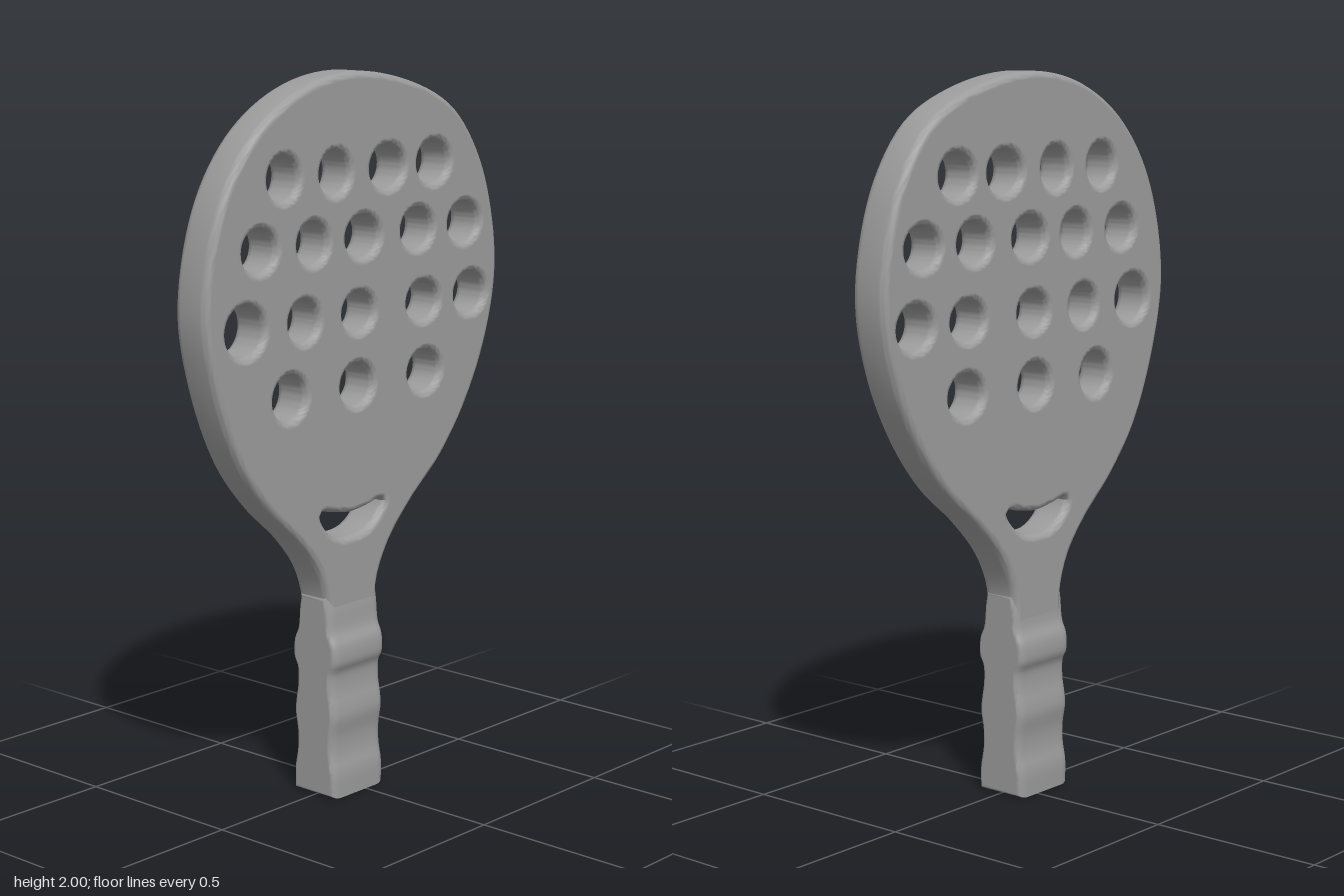
import * as THREE from 'three';
import { toCreasedNormals } from 'three/addons/utils/BufferGeometryUtils.js';

const material = new THREE.MeshStandardMaterial({ color: 0x9c9c9c });

// Smooth curve through [x, y] pairs, sampled as 2D points
function smoothPoints(pairs, closed, count) {
  const curve = new THREE.CatmullRomCurve3(
    pairs.map(([x, y]) => new THREE.Vector3(x, y, 0)), closed, 'centripetal');
  const points = curve.getSpacedPoints(count).map(p => new THREE.Vector2(p.x, p.y));
  if (closed) points.pop();
  return points;
}

// Extrusion with rounded edges that stays inside its outline, centred in depth
function roundedExtrude(shape, depth, bevelSize, bevelThickness) {
  const inner = depth - 2 * bevelThickness;
  const extrusion = new THREE.ExtrudeGeometry(shape, {
    depth: inner, bevelThickness, bevelSize, bevelOffset: -bevelSize, bevelSegments: 5, curveSegments: 28,
  });
  extrusion.translate(0, 0, -inner / 2);
  const geometry = toCreasedNormals(extrusion, 0.8);
  // The rounding runs out level with the flat faces
  const { position, normal } = geometry.attributes;
  for (let i = 0; i < position.count; i++) {
    const z = position.getZ(i);
    if (Math.abs(z) > depth / 2 - 1e-4) normal.setXYZ(i, 0, 0, Math.sign(z));
  }
  return geometry;
}

// Perforated blade with its neck
function makeBlade() {
  const outline = [
    [-0.13, 0.48], [-0.128, 0.555], [-0.16, 0.65], [-0.23, 0.74], [-0.36, 0.86],
    [-0.465, 0.995], [-0.555, 1.21], [-0.59, 1.42], [-0.53, 1.68], [-0.41, 1.85],
    [-0.24, 1.957], [-0.03, 2.0], [0.22, 1.963], [0.40, 1.88], [0.515, 1.735],
    [0.577, 1.55], [0.588, 1.39], [0.545, 1.21], [0.46, 1.04], [0.35, 0.90],
    [0.22, 0.79], [0.127, 0.69], [0.08, 0.60], [0.07, 0.54], [0.07, 0.48],
  ];
  const shape = new THREE.Shape(smoothPoints(outline, false, 130));

  // Rows of holes: height, then [x, radius x, radius y]
  const rows = [
    [1.737, [[-0.297, 0.058, 0.06], [-0.098, 0.058, 0.06], [0.113, 0.069, 0.06], [0.306, 0.067, 0.06]]],
    [1.557, [[-0.388, 0.062, 0.058], [-0.185, 0.058, 0.058], [0.013, 0.067, 0.058],
      [0.238, 0.065, 0.058], [0.44, 0.066, 0.058]]],
    [1.353, [[-0.442, 0.071, 0.068], [-0.22, 0.058, 0.058], [-0.004, 0.063, 0.056],
      [0.264, 0.066, 0.056], [0.47, 0.067, 0.06]]],
    [1.154, [[-0.276, 0.062, 0.062], [-0.01, 0.064, 0.059], [0.272, 0.068, 0.059]]],
  ];
  // Holes wind against the outline so that their walls face inwards
  for (const [y, holes] of rows) {
    for (const [x, rx, ry] of holes) {
      const hole = new THREE.Path();
      hole.absellipse(x, y, rx, ry, 0, Math.PI * 2, false);
      shape.holes.push(hole);
    }
  }

  // Crescent opening above the neck
  const crescent = [
    [-0.155, 0.81], [-0.13, 0.768], [-0.08, 0.738], [-0.03, 0.733], [0.03, 0.742],
    [0.075, 0.772], [0.102, 0.81], [0.092, 0.819], [0.04, 0.808], [-0.03, 0.80],
    [-0.1, 0.811], [-0.147, 0.82],
  ];
  shape.holes.push(new THREE.Path(smoothPoints(crescent, true, 48)));

  const blade = new THREE.Mesh(roundedExtrude(shape, 0.116, 0.02, 0.023), material);
  blade.name = 'blade';
  blade.position.z = -0.005;
  return blade;
}

// Grip: wavy side profile extruded across its width
function makeGrip() {
  const wave = [
    [0.077, 0], [0.077, 0.07], [0.068, 0.12], [0.067, 0.17], [0.076, 0.23], [0.074, 0.26],
    [0.066, 0.31], [0.067, 0.36], [0.079, 0.385], [0.078, 0.44], [0.064, 0.475], [0.057, 0.54], [0.05, 0.58],
  ];
  const front = smoothPoints(wave, false, 50);
  const back = front.map(p => new THREE.Vector2(-p.x, p.y)).reverse();
  const geometry = roundedExtrude(new THREE.Shape([...front, ...back]), 0.212, 0.016, 0.03);
  geometry.rotateY(-Math.PI / 2);
  const grip = new THREE.Mesh(geometry, material);
  grip.name = 'grip';
  grip.position.set(-0.03, 0, -0.003);
  return grip;
}

export function createModel() {
  const paddle = new THREE.Group();
  paddle.name = 'paddle';
  paddle.add(makeBlade(), makeGrip());
  return paddle;
}
